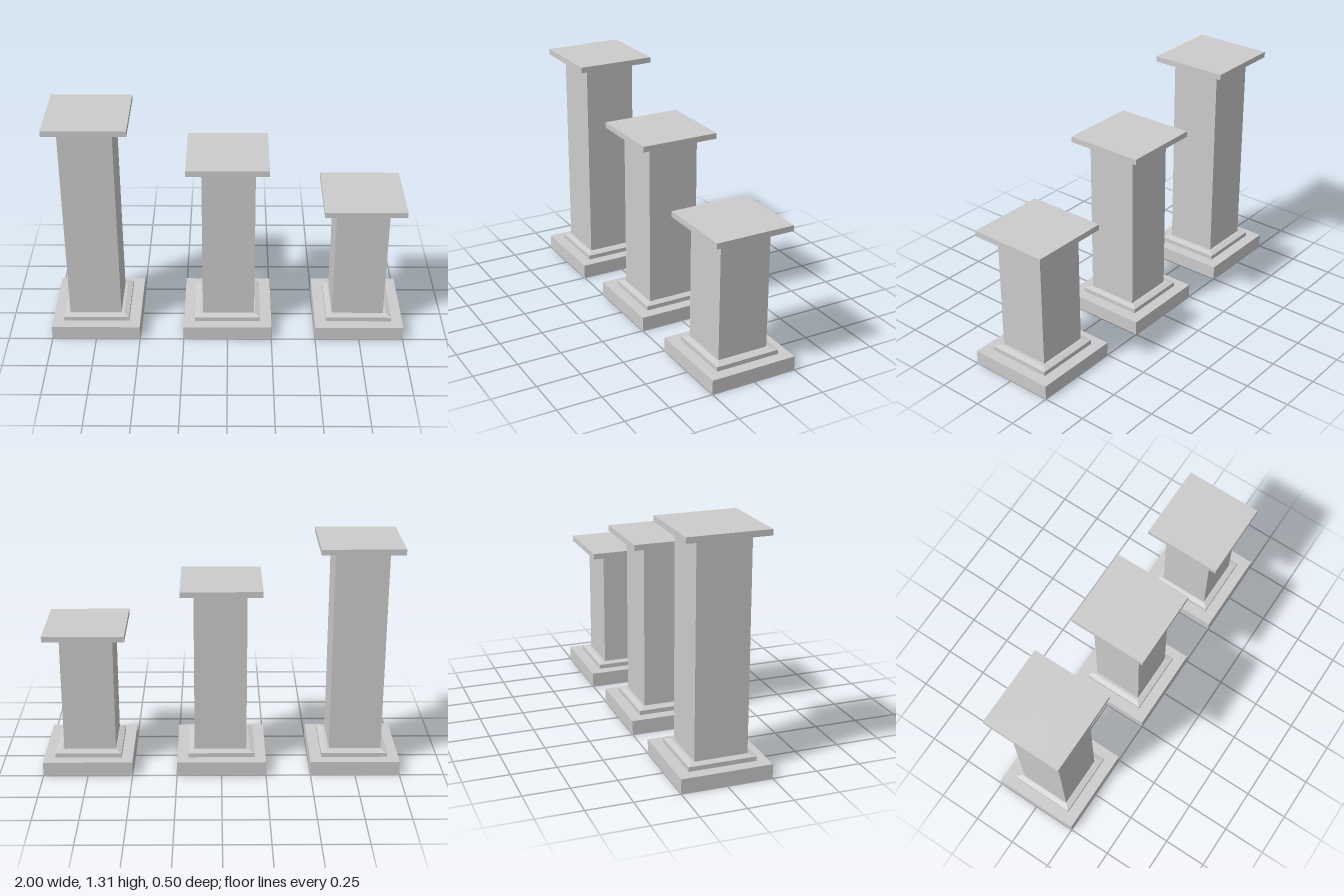
import * as THREE from 'three';

const material = new THREE.MeshStandardMaterial({ color: 0xcccccc, flatShading: true });

// Square block standing between two heights; the top may be narrower than the bottom
function block(name, width, y0, y1, topWidth = width) {
  const geometry = new THREE.CylinderGeometry(topWidth / Math.SQRT2, width / Math.SQRT2, y1 - y0, 4);
  geometry.rotateY(Math.PI / 4);
  const mesh = new THREE.Mesh(geometry, material);
  mesh.name = name;
  mesh.position.y = (y0 + y1) / 2;
  return mesh;
}

function pedestal(name, x, height, shaftX) {
  const group = new THREE.Group();
  group.name = name;
  group.position.x = x;

  // Stepped foot with a shallow sloping top
  group.add(block('plinth', 0.5, 0, 0.081));
  group.add(block('step', 0.372, 0.081, 0.106));
  group.add(block('stepSlope', 0.372, 0.106, 0.115, 0.315));

  // Shaft, set very slightly off centre
  const shaft = block('shaft', 0.293, 0.1, height - 0.032);
  shaft.position.x = shaftX;
  shaft.position.z = 0.004;
  group.add(shaft);

  // Thin overhanging slab
  group.add(block('cap', 0.448, height - 0.032, height));
  return group;
}

export function createModel() {
  const model = new THREE.Group();
  model.name = 'pedestals';
  model.add(pedestal('tallPedestal', -0.75, 1.312, -0.006));
  model.add(pedestal('middlePedestal', 0, 1.078, 0.005));
  model.add(pedestal('shortPedestal', 0.75, 0.826, -0.006));
  return model;
}
